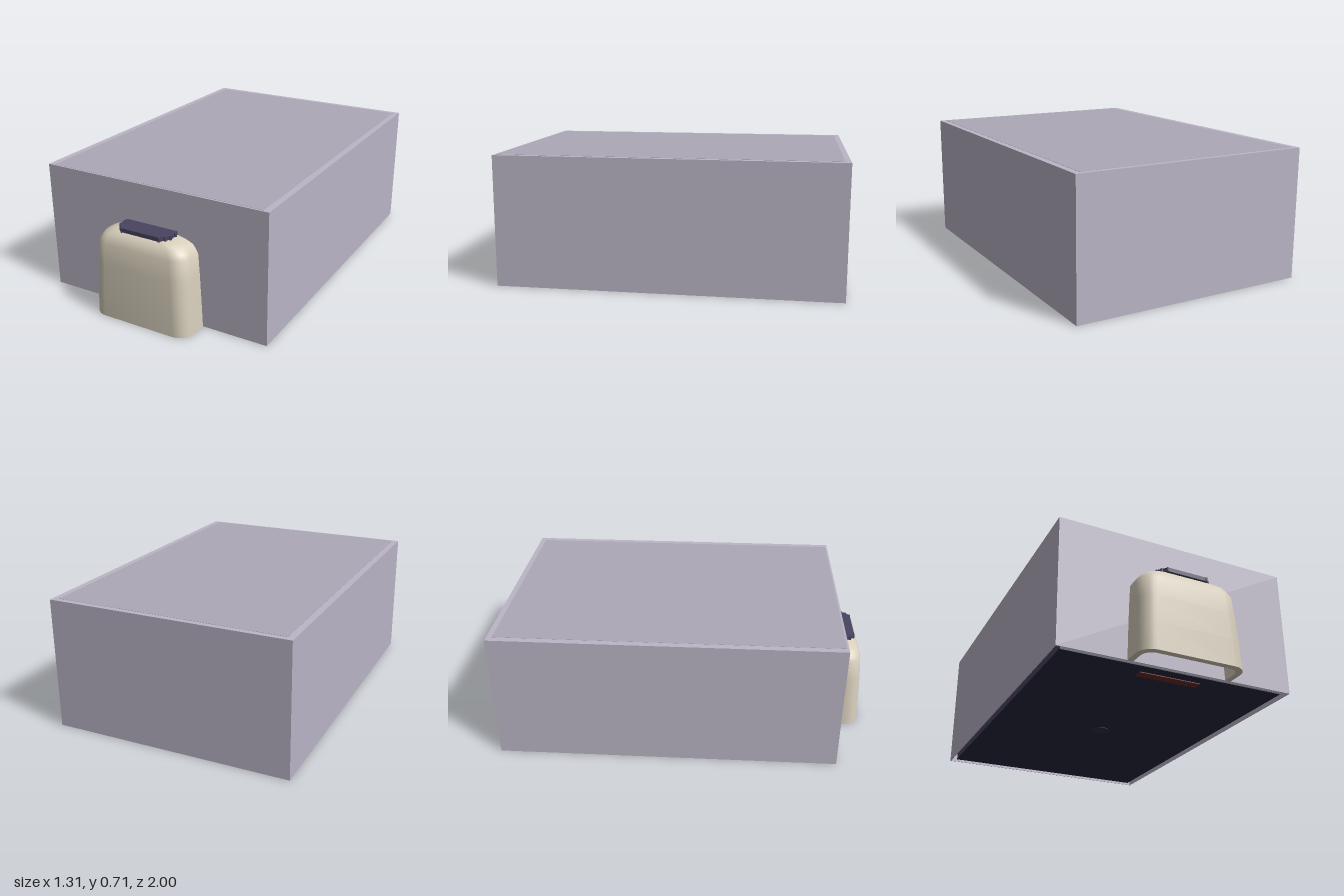
import * as THREE from 'three';
import { toCreasedNormals } from 'three/addons/utils/BufferGeometryUtils.js';

const mat = (color, side = THREE.FrontSide) => new THREE.MeshStandardMaterial({ color, side });

// U-shaped cross-section: straight sides from the back, rounded front corners
function section(w, zf, zb, r, y) {
  const pts = [[-w, y, zb]];
  for (const s of [-1, 1]) {
    for (let i = 0; i <= 6; i++) {
      const a = (s < 0 ? i : 6 - i) / 6 * Math.PI / 2;
      pts.push([s * (w - r + r * Math.cos(a)), y, zf - r + r * Math.sin(a)]);
    }
  }
  pts.push([w, y, zb]);
  return pts;
}

// Skin a list of equal-length sections
function loft(rows) {
  const n = rows[0].length, index = [];
  for (let j = 0; j < rows.length - 1; j++) {
    for (let i = 0; i < n - 1; i++) {
      const a = j * n + i, b = a + 1, c = a + n, d = c + 1;
      index.push(a, b, c, b, d, c);
    }
  }
  const g = new THREE.BufferGeometry();
  g.setAttribute('position', new THREE.Float32BufferAttribute(rows.flat(2), 3));
  g.setIndex(index);
  return toCreasedNormals(g, 0.9);
}

export function createModel() {
  const model = new THREE.Group();
  const shellMat = mat(0xbbb5c6, THREE.DoubleSide);
  const darkMat = mat(0x4a4460);
  const add = (name, geo, material, x = 0, y = 0, z = 0, parent = model) => {
    const m = new THREE.Mesh(geo, material);
    m.name = name;
    m.position.set(x, y, z);
    parent.add(m);
    return m;
  };

  // Outer shell: four walls and a lid, open underneath
  const W = 1.31, H = 0.71, z0 = -1, z1 = 0.84, D = z1 - z0, zc = (z0 + z1) / 2, t = 0.004;
  const shell = new THREE.Group();
  shell.name = 'outerShell';
  model.add(shell);
  for (const s of [-1, 1]) {
    add('sideWall', new THREE.BoxGeometry(t, H, D), shellMat, s * (W - t) / 2, H / 2, zc, shell);
    add('endWall', new THREE.BoxGeometry(W, H, t), shellMat, 0, H / 2, zc + s * (D - t) / 2, shell);
  }
  add('lid', new THREE.BoxGeometry(W, t, D), shellMat, 0, H - t / 2, zc, shell);
  add('lidPanel', new THREE.BoxGeometry(1.24, 0.002, 1.8), mat(0xada8b7), 0, H, -0.07, shell);

  // Dark inner block and its underside
  add('innerBlock', new THREE.BoxGeometry(1.24, 0.68, 1.77), darkMat, 0, 0.35, zc);
  add('floorPlate', new THREE.BoxGeometry(1.24, 0.006, 1.77), mat(0x26283c), 0, 0.007, zc);
  add('floorBoss', new THREE.CylinderGeometry(0.05, 0.05, 0.006, 20), mat(0x2c3038), 0, 0.004, -0.08);
  add('redSill', new THREE.BoxGeometry(0.34, 0.006, 0.05), mat(0x6a2a2a), 0, 0.003, 0.72);

  // Hollow front hood: inner skin, bottom rim, then outer skin
  const profile = [ // height, half width, front z, corner radius
    [0, 0.29, 1, 0.08], [0.15, 0.284, 0.997, 0.08], [0.3, 0.277, 0.991, 0.08],
    [0.41, 0.27, 0.982, 0.08], [0.435, 0.255, 0.973, 0.078], [0.455, 0.24, 0.962, 0.075],
    [0.472, 0.2, 0.945, 0.07], [0.483, 0.15, 0.925, 0.06], [0.486, 0.002, 0.842, 0.001],
  ];
  const zb = 0.835;
  const outer = profile.map(([y, w, zf, r]) => section(w, zf, zb, r, y));
  const inner = profile.map(([y, w, zf, r]) =>
    section(w * 0.89, zb + (zf - zb) * 0.8, zb, r * 0.7, y * 0.93)).reverse();
  add('frontHood', loft([...inner, ...outer]), mat(0xd8cfbc, THREE.DoubleSide));

  // Chamfered cap on top of the hood, with small studs around its edge
  const cap = new THREE.Group();
  cap.name = 'hoodCap';
  model.add(cap);
  const outline = new THREE.Shape([[-0.153, 0.83], [0.153, 0.83], [0.153, 0.9], [0.112, 0.948],
    [-0.112, 0.948], [-0.153, 0.9]].map(([x, z]) => new THREE.Vector2(x, -z)));
  const plate = new THREE.ExtrudeGeometry(outline, { depth: 0.022, bevelEnabled: false });
  plate.rotateX(-Math.PI / 2);
  add('capPlate', plate, darkMat, 0, 0.48, 0, cap);
  for (const s of [-1, 1]) {
    for (const [x, z] of [[0.153, 0.86], [0.15, 0.9], [0.134, 0.922], [0.112, 0.944]]) {
      add('capStud', new THREE.CylinderGeometry(0.007, 0.007, 0.024, 8), darkMat, s * x, 0.49, z, cap);
    }
  }
  return model;
}
